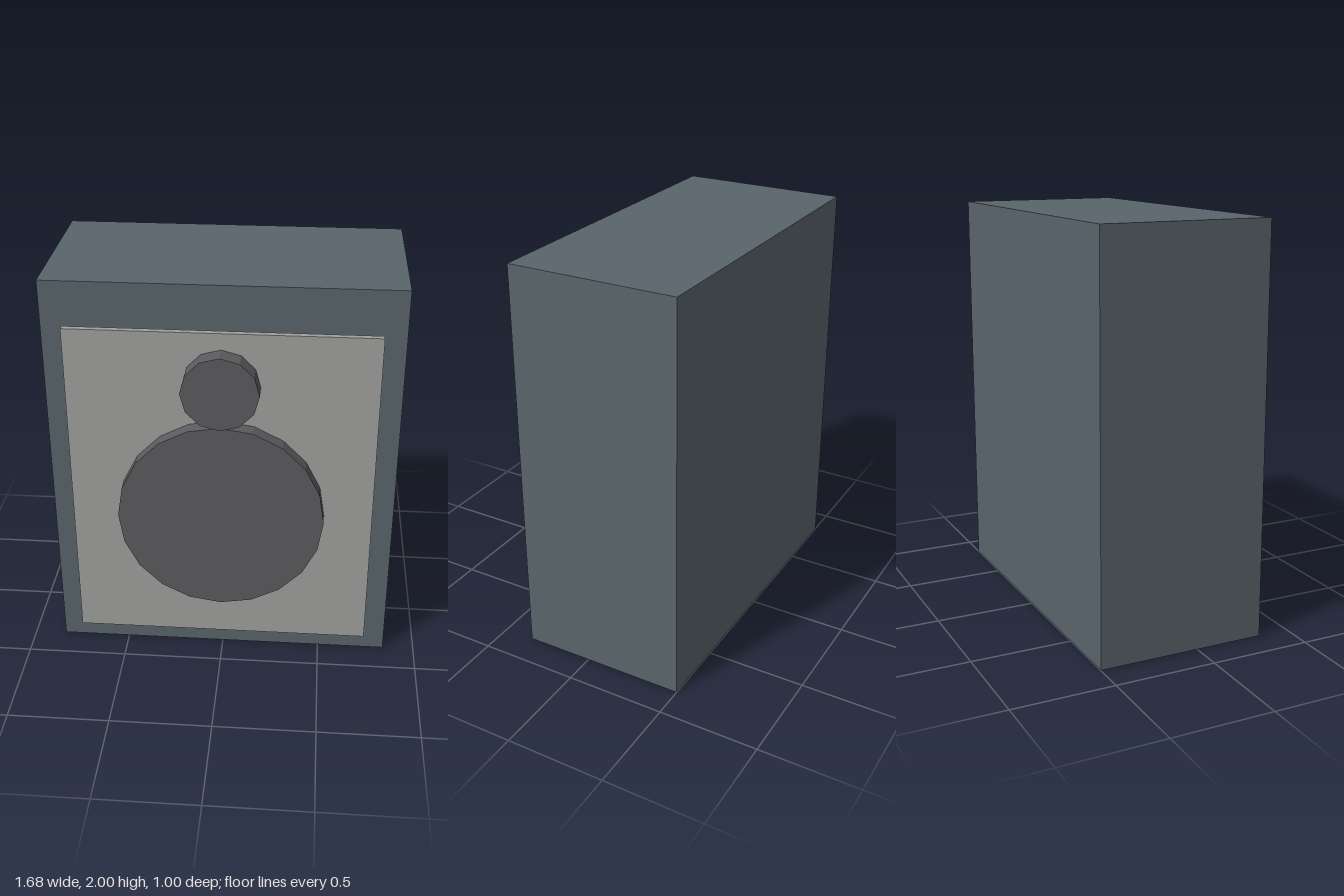
import * as THREE from 'three';

const material = (color) => new THREE.MeshStandardMaterial({ color, flatShading: true });

// Box spanning z0..z1, centred on x
function slab(name, width, y0, y1, z0, z1, mat) {
  const mesh = new THREE.Mesh(new THREE.BoxGeometry(width, y1 - y0, z1 - z0), mat);
  mesh.name = name;
  mesh.position.set(0, (y0 + y1) / 2, (z0 + z1) / 2);
  return mesh;
}

// Faceted disc facing +z
function driver(name, radius, sides, y, z0, z1, mat) {
  const geometry = new THREE.CylinderGeometry(radius, radius, z1 - z0, sides).rotateX(Math.PI / 2);
  const mesh = new THREE.Mesh(geometry, mat);
  mesh.name = name;
  mesh.position.set(0, y, (z0 + z1) / 2);
  return mesh;
}

export function createModel() {
  const group = new THREE.Group();
  group.name = 'loudspeaker';
  const cone = material(0x5c5c60);

  group.add(
    slab('cabinet', 1.682, 0, 2, -0.498, 0.343, material(0x59646b)),
    // Front panel floats just ahead of the cabinet
    slab('frontPanel', 1.47, 0.11, 1.79, 0.368, 0.398, material(0xa0a19e)),
    // Two drivers, the smaller one on top
    driver('woofer', 0.5, 20, 0.845, 0.398, 0.473, cone),
    driver('tweeter', 0.184, 12, 1.528, 0.404, 0.498, cone)
  );
  return group;
}
